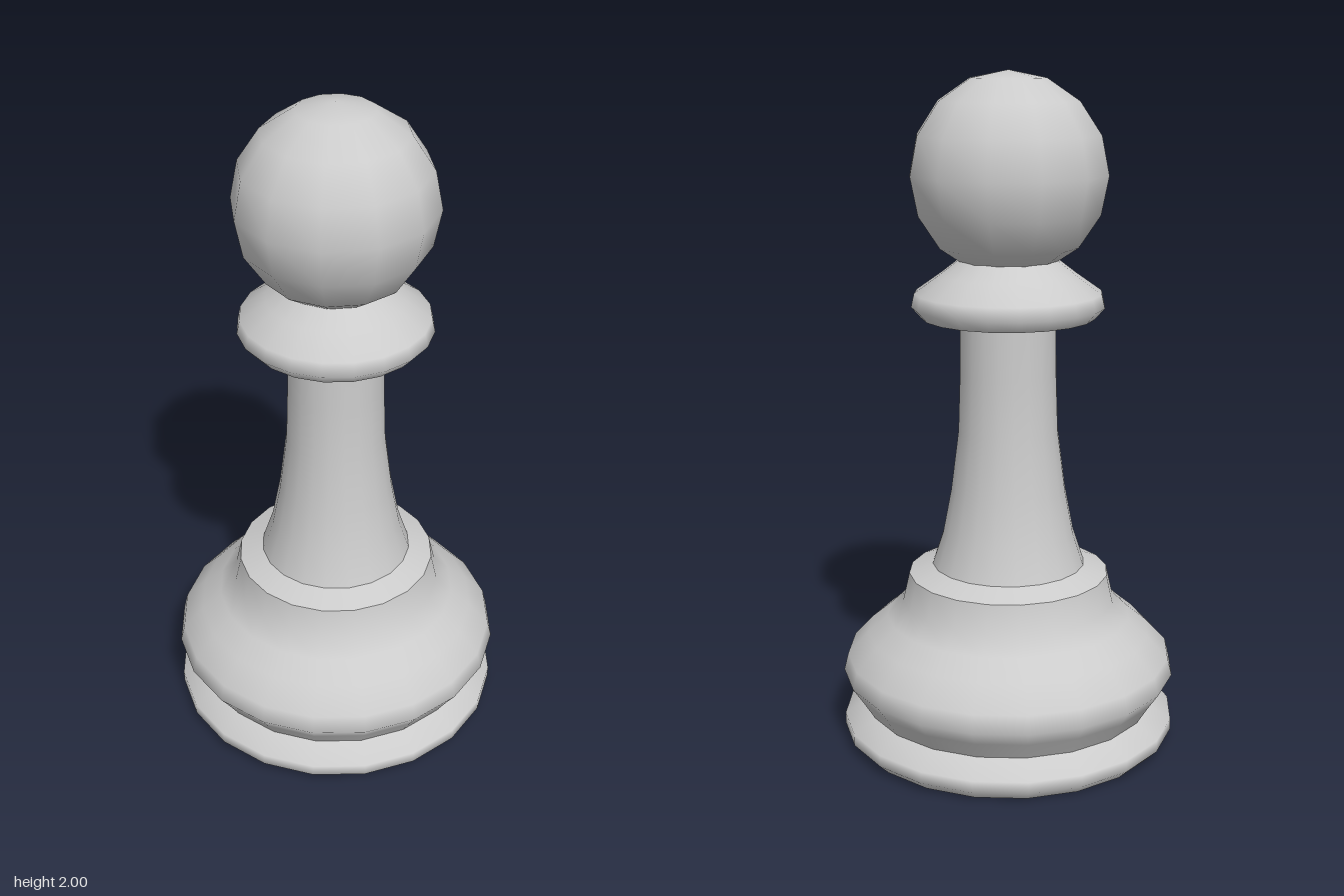
import * as THREE from 'three';

const SIDES = 20;

export function createModel() {
  const group = new THREE.Group();
  const material = new THREE.MeshStandardMaterial({ color: 0xcccccc });

  const add = (name, geometry) => {
    const mesh = new THREE.Mesh(geometry, material);
    mesh.name = name;
    group.add(mesh);
    return mesh;
  };
  // Each turned section is a separate lathe, so edges between sections stay sharp
  const turn = (name, profile) =>
    add(name, new THREE.LatheGeometry(profile.map(([r, y]) => new THREE.Vector2(r, y)), SIDES));

  // Foot
  turn('footUnderside', [[0, 0], [0.476, 0]]);
  turn('footRim', [[0.476, 0], [0.506, 0.03], [0.506, 0.065], [0.44, 0.107]]);

  // Bulging base with a stepped shoulder
  turn('base', [
    [0.44, 0.107], [0.476, 0.165], [0.506, 0.21], [0.493, 0.262],
    [0.43, 0.33], [0.37, 0.38], [0.322, 0.427], [0.302, 0.515],
  ]);
  turn('shoulder', [[0.302, 0.515], [0.23, 0.543]]);

  // Flared stem
  turn('stem', [
    [0.23, 0.543], [0.198, 0.64], [0.172, 0.775], [0.149, 0.955],
    [0.143, 1.13], [0.141, 1.297],
  ]);

  // Collar
  turn('collarUnderside', [[0.13, 1.297], [0.255, 1.297]]);
  turn('collar', [
    [0.255, 1.297], [0.284, 1.33], [0.275, 1.37], [0.2, 1.423], [0.143, 1.467],
  ]);

  // Round head, coarser than the turned parts
  add('head', new THREE.SphereGeometry(0.291, 12, 8)).position.y = 1.709;

  return group;
}
